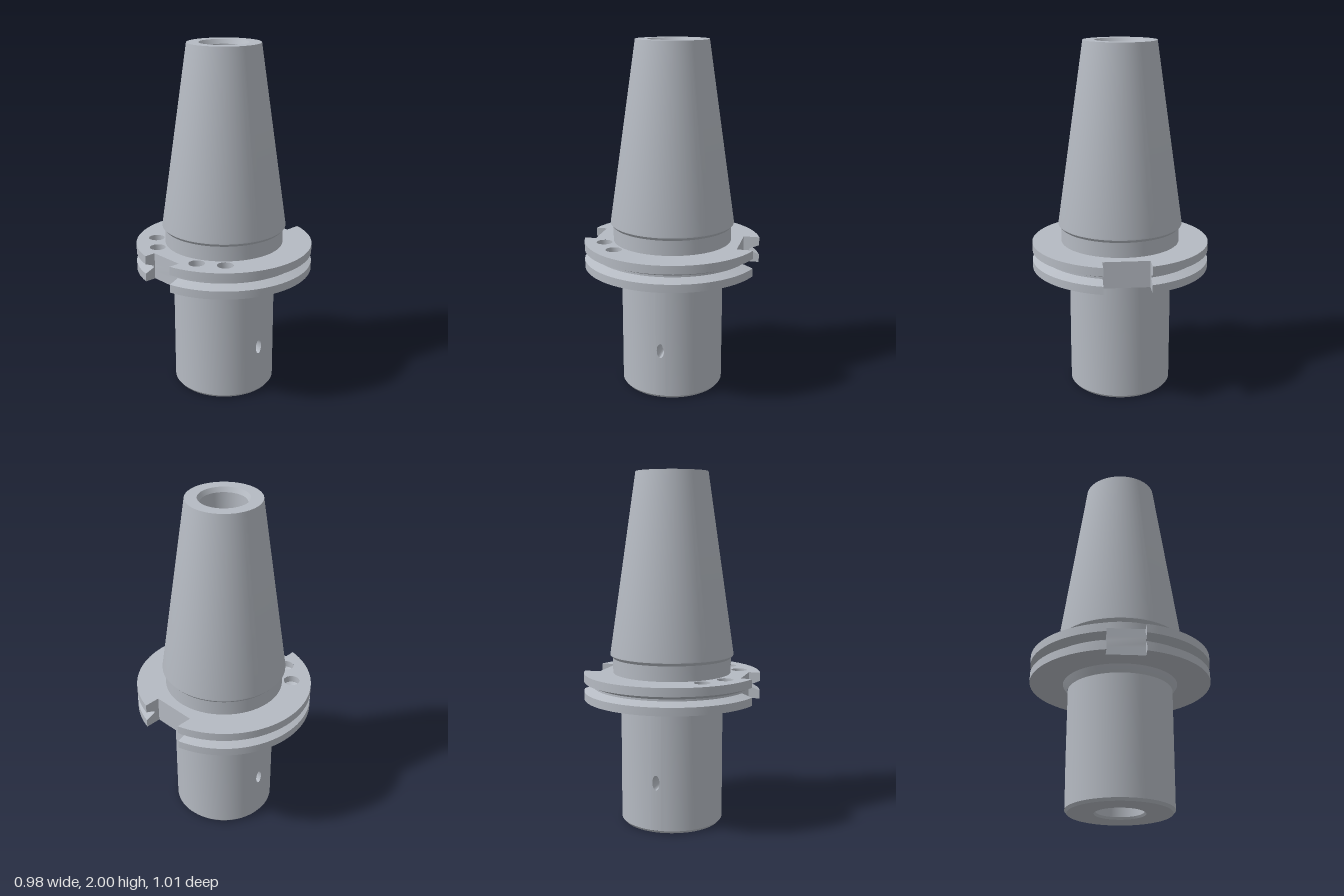
import * as THREE from 'three';
import { toCreasedNormals } from 'three/addons/utils/BufferGeometryUtils.js';

const steel = new THREE.MeshStandardMaterial({ color: 0xb5bac2 });
steel.name = 'steel';

const SHANK_R = 0.293, SHANK_LOW = 0.015, SHANK_TOP = 0.68;
const FLANGE_LOW = 0.72, FLANGE_TOP = 0.87;

function part(name, geometry) {
  const mesh = new THREE.Mesh(geometry, steel);
  mesh.name = name;
  return mesh;
}

function lathe(points, segments, start = 0, length = Math.PI * 2) {
  const profile = points.map(([r, y]) => new THREE.Vector2(r, y));
  return toCreasedNormals(new THREE.LatheGeometry(profile, segments, start, length), 0.35);
}

// Skin between successive closed rings of [x, y, z] points
function loft(rings) {
  const n = rings[0].length, index = [];
  for (let j = 0; j < rings.length - 1; j++) {
    for (let i = 0; i < n; i++) {
      const k = (i + 1) % n;
      const a = j * n + i, b = j * n + k, c = b + n, d = a + n;
      index.push(a, b, c, a, c, d);
    }
  }
  const geometry = new THREE.BufferGeometry();
  geometry.setAttribute('position', new THREE.Float32BufferAttribute(rings.flat(2), 3));
  geometry.setIndex(index);
  return toCreasedNormals(geometry, 0.35);
}

// Flange outline of a given radius with the two unequal drive slots
function flangeOutline(radius) {
  const slots = { right: [0.397, 0.13], left: [-0.43, 0.104] };
  const a = Math.asin(slots.right[1] / radius);
  const b = Math.PI - Math.asin(slots.left[1] / radius);
  const steps = 40, upper = [];
  for (let i = 0; i <= steps; i++) {
    const t = a + (b - a) * i / steps;
    upper.push([radius * Math.cos(t), radius * Math.sin(t)]);
  }
  upper.unshift(slots.right);
  upper.push(slots.left);
  const lower = upper.map(([u, v]) => [u, -v]).reverse();
  return [...upper, ...lower];
}

function circle(x, y, r) {
  return new THREE.Path().absarc(x, y, r, 0, Math.PI * 2, true);
}

function createFlange() {
  const group = new THREE.Group();
  group.name = 'flange';
  // Rim with V groove
  const levels = [[0.505, FLANGE_LOW], [0.505, 0.766], [0.45, 0.788],
    [0.45, 0.799], [0.505, 0.822], [0.505, FLANGE_TOP]];
  group.add(part('grooveRim', loft(levels.map(([r, y]) =>
    flangeOutline(r).map(([u, v]) => [u, y, -v])))));

  // Flat faces, the upper one pierced by the drilled holes
  const drills = [];
  for (const s of [1, -1]) drills.push([-0.263, 0.293 * s], [-0.357, 0.167 * s]);
  const face = (holes) => {
    const shape = new THREE.Shape(flangeOutline(0.505).map(([u, v]) => new THREE.Vector2(u, v)));
    shape.holes.push(circle(0, 0, 0.305), ...holes);
    return new THREE.ShapeGeometry(shape, 24);
  };
  const top = part('flangeTop', face(drills.map(([x, z]) => circle(x, -z, 0.045))));
  top.rotation.x = -Math.PI / 2;
  top.position.y = FLANGE_TOP;
  const bottom = part('flangeBottom', face([]));
  bottom.rotation.x = Math.PI / 2;
  bottom.position.y = FLANGE_LOW;
  group.add(top, bottom);

  // Blind holes with conical floors
  for (const [x, z] of drills) {
    const hole = part('drilledHole', lathe([[0.045, 0], [0.045, -0.04], [0, -0.066]], 24));
    hole.position.set(x, FLANGE_TOP, z);
    group.add(hole);
  }
  return group;
}

// Half of the shank wall, with an oval side hole in its middle
function createShankHalf() {
  const group = new THREE.Group();
  group.name = 'shankHalf';
  const gap = 0.1, w = gap * SHANK_R, rx = 0.021, ry = 0.042, cy = 0.29;
  group.add(part('shankWall',
    lathe([[SHANK_R, SHANK_LOW], [SHANK_R, SHANK_TOP]], 30, gap, Math.PI - gap * 2)));

  const shape = new THREE.Shape([[-w, SHANK_LOW], [w, SHANK_LOW], [w, SHANK_TOP], [-w, SHANK_TOP]]
    .map(([x, y]) => new THREE.Vector2(x, y)));
  shape.holes.push(new THREE.Path().absellipse(0, cy, rx, ry, 0, Math.PI * 2, true));
  const panel = new THREE.ShapeGeometry(shape, 12);
  const pos = panel.attributes.position, normal = panel.attributes.normal;
  for (let i = 0; i < pos.count; i++) {
    const t = pos.getX(i) / SHANK_R, s = Math.sin(t), c = Math.cos(t);
    pos.setXYZ(i, SHANK_R * s, pos.getY(i), SHANK_R * c);
    normal.setXYZ(i, s, 0, c);
  }
  group.add(part('shankPanel', panel));

  const ring = (scale, z) => Array.from({ length: 24 }, (_, i) => {
    const t = i / 24 * Math.PI * 2, x = rx * scale * Math.cos(t);
    return [x, cy + ry * scale * Math.sin(t), z ?? Math.sqrt(SHANK_R ** 2 - x * x)];
  });
  group.add(part('sideHole', loft([ring(1), ring(1, 0.18), ring(0.01, 0.17)])));
  return group;
}

export function createModel() {
  const model = new THREE.Group();
  model.name = 'toolHolder';

  // Collar, neck and taper outside, then the stepped bore down to the base
  model.add(part('taperAndBore', lathe([
    [SHANK_R, SHANK_TOP], [0.32, FLANGE_LOW], [0.338, 0.75], [0.338, 0.955],
    [0.353, 0.972], [0.353, 0.98], [0.204, 2],
    [0.138, 2], [0.124, 1.975], [0.124, 1.78], [0.107, 1.765], [0.107, 1.4],
    [0.066, 1.4], [0.052, 1.37], [0.052, 0.65],
    [0.13, 0.62], [0.13, 0.012], [0.138, 0],
    [0.281, 0], [SHANK_R, SHANK_LOW],
  ], 64)));

  for (const turn of [0, Math.PI]) {
    const half = createShankHalf();
    half.rotation.y = turn;
    model.add(half);
  }
  model.add(createFlange());
  return model;
}
